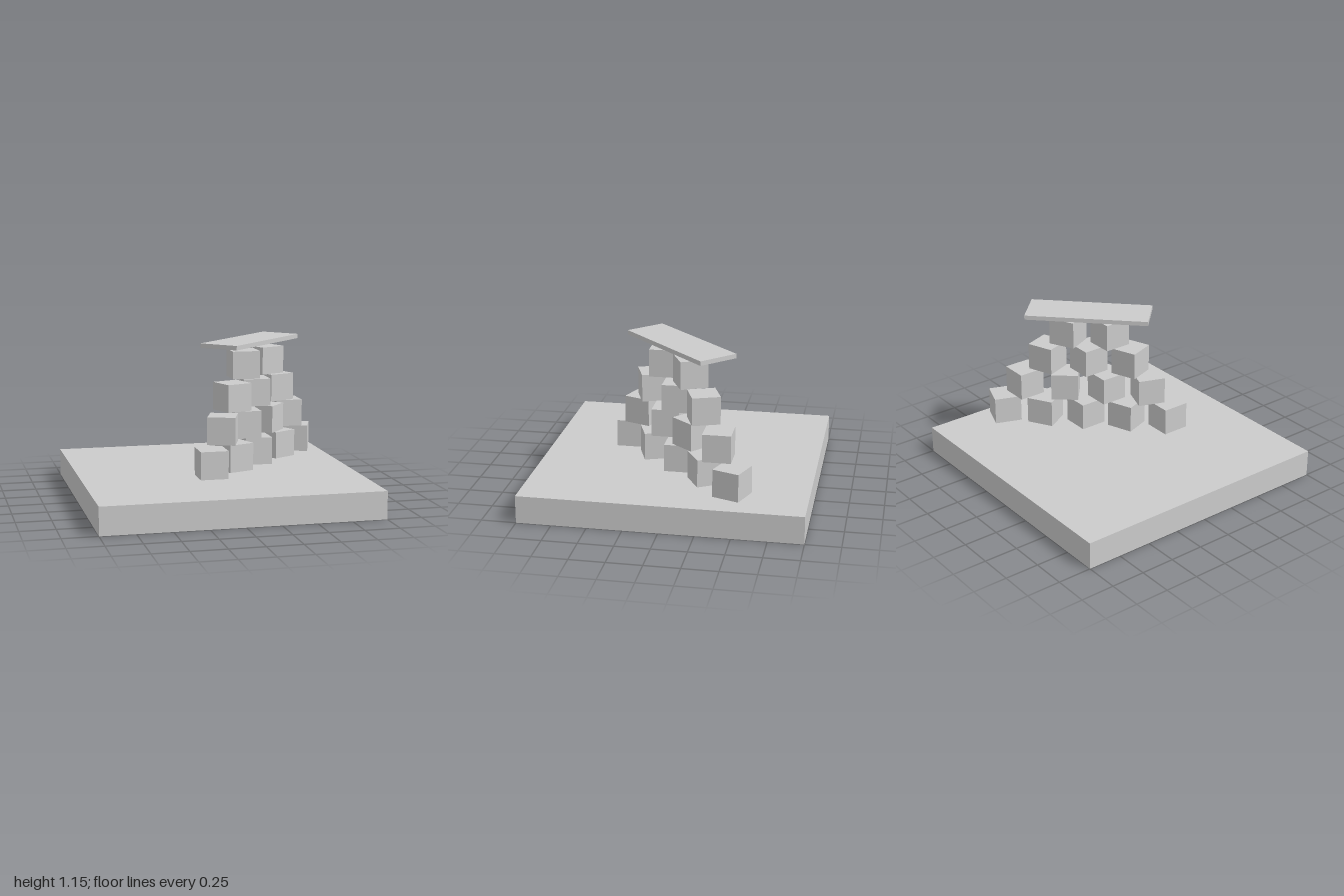
import * as THREE from 'three';

export function createModel() {
  const model = new THREE.Group();
  const material = new THREE.MeshStandardMaterial({ color: 0xcccccc, flatShading: true });

  function addBox(name, [w, h, d], [x, y, z], degrees = 0) {
    const mesh = new THREE.Mesh(new THREE.BoxGeometry(w, h, d), material);
    mesh.name = name;
    mesh.position.set(x, y, z);
    mesh.rotation.y = THREE.MathUtils.degToRad(degrees);
    model.add(mesh);
  }

  // Square ground slab
  addBox('base', [2, 0.2, 2], [0, 0.1, 0]);

  // Diagonal pyramid of cubes: start of each row and the turn of each cube
  const size = 0.2, step = 0.219;
  const rows = [
    { x: -0.1, z: 0.4, turns: [0, 20, 0, 30, -20] },
    { x: 0.007, z: 0.293, turns: [-20, 0, -40, 0] },
    { x: 0.1, z: 0.2, turns: [20, 0, 20] },
    { x: 0.208, z: 0.092, turns: [0, 25] },
  ];
  rows.forEach(({ x, z, turns }, row) => {
    turns.forEach((turn, i) => {
      addBox(`cubeRow${row + 1}Number${i + 1}`, [size, size, size],
        [x + i * step, 0.328 + row * 0.22, z - i * step], turn);
    });
  });

  // Thin plank floating on top, along the diagonal
  addBox('plank', [0.9, 0.032, 0.3], [0.295, 1.138, -0.032], 45);

  return model;
}
